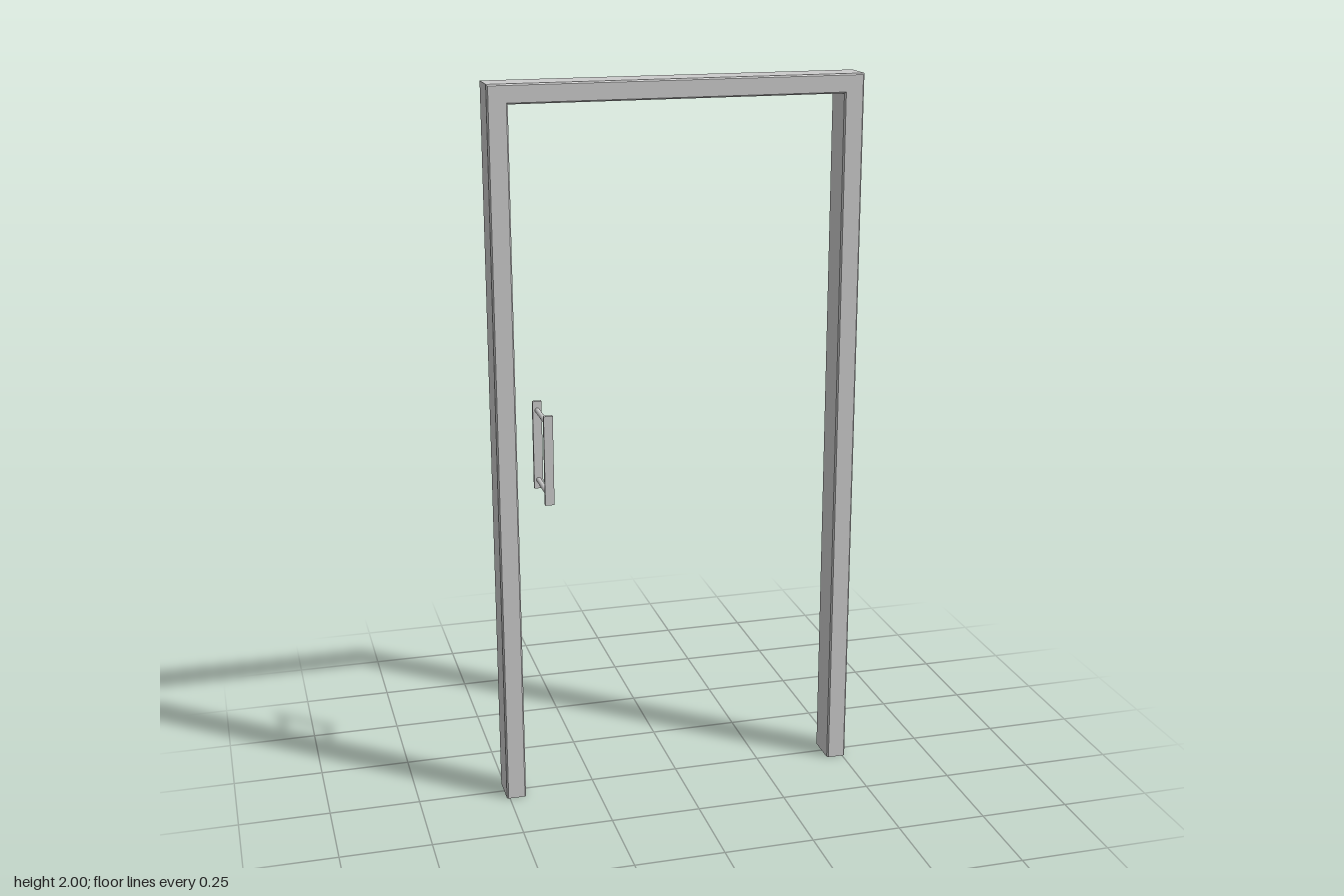
import * as THREE from 'three';

const W = 0.508, H = 2, D = 0.049; // frame half width, height, half depth
const LEG = 0.055, HEAD = 0.052, BEVEL = 0.004;

// Hollow frame: a chamfered section swept up, across and down with mitred corners
function frameGeometry() {
  const b = BEVEL / LEG;
  // [0 = outer side, 1 = opening side ; z]
  const section = [
    [b, D], [0, D - BEVEL], [0, -D + BEVEL], [b, -D],
    [1 - b, -D], [1, -D + BEVEL], [1, D - BEVEL], [1 - b, D],
  ];
  const n = section.length, positions = [], indices = [];
  for (let s = 0; s < 4; s++) {
    const side = s < 2 ? -1 : 1;
    const atFloor = s === 0 || s === 3;
    for (const [u, z] of section) {
      positions.push(side * (W - u * LEG), atFloor ? 0 : H - u * HEAD, z);
    }
  }
  for (let s = 0; s < 3; s++) {
    for (let i = 0; i < n; i++) {
      const j = (i + 1) % n;
      const a = s * n + i, c = s * n + j;
      indices.push(a, a + n, c, c, a + n, c + n);
    }
  }
  const indexed = new THREE.BufferGeometry();
  indexed.setAttribute('position', new THREE.Float32BufferAttribute(positions, 3));
  indexed.setIndex(indices);
  const geometry = indexed.toNonIndexed();
  geometry.computeVertexNormals();
  return geometry;
}

export function createModel() {
  const model = new THREE.Group();
  model.name = 'doorFrame';
  const grey = new THREE.MeshStandardMaterial({ color: 0xcccccc });
  const frameGrey = new THREE.MeshStandardMaterial({
    color: 0xcccccc, flatShading: true, side: THREE.DoubleSide,
  });

  const add = (parent, name, geometry, material, x, y, z) => {
    const mesh = new THREE.Mesh(geometry, material);
    mesh.name = name;
    mesh.position.set(x, y, z);
    parent.add(mesh);
    return mesh;
  };

  add(model, 'frame', frameGeometry(), frameGrey, 0, 0, 0);

  // Pull handle: a flat grip on each face, joined by two through rods
  const handle = new THREE.Group();
  handle.name = 'handle';
  handle.position.set(-0.373, 1.003, 0);
  model.add(handle);

  const grip = new THREE.BoxGeometry(0.025, 0.25, 0.01);
  add(handle, 'frontGrip', grip, grey, 0, 0, 0.075);
  add(handle, 'backGrip', grip, grey, 0, 0, -0.075);

  const rod = new THREE.CylinderGeometry(0.007, 0.007, 0.14, 16, 1, true);
  rod.rotateX(Math.PI / 2);
  add(handle, 'upperRod', rod, grey, 0, 0.1, 0);
  add(handle, 'lowerRod', rod, grey, 0, -0.1, 0);

  return model;
}
